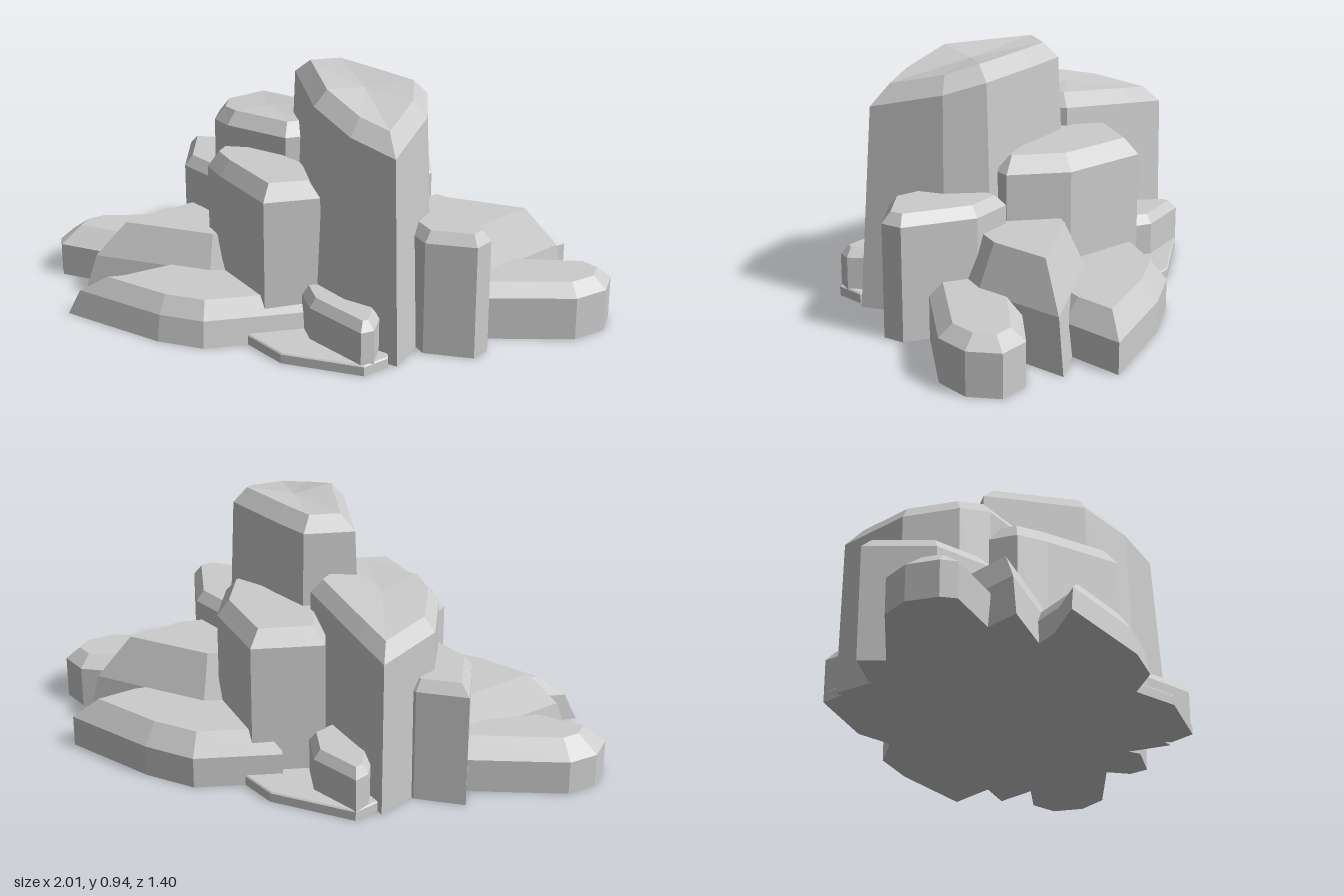
import * as THREE from 'three';

const material = new THREE.MeshStandardMaterial({ color: 0xcccccc, flatShading: true });

// Moves every edge of a convex outline outwards by d (inwards when negative).
function offset(outline, d) {
  const n = outline.length;
  const normal = (a, b) => new THREE.Vector2(b.y - a.y, a.x - b.x).normalize();
  return outline.map((p, i) => {
    const n1 = normal(outline[(i + n - 1) % n], p);
    const n2 = normal(p, outline[(i + 1) % n]);
    const k = d / (1 + n1.dot(n2));
    return n1.add(n2).multiplyScalar(k).add(p);
  });
}

// A faceted rock: splayed foot, shoulder outline and an inset, bevelled cap.
// shoulder is a height or a function of z; rise is the height of the bevel.
function rock(name, points, shoulder, rise, inset, splay = 0) {
  let outline = points.map(([x, z]) => new THREE.Vector2(x, z));
  if (THREE.ShapeUtils.area(outline) < 0) outline.reverse();
  const height = typeof shoulder === 'function' ? shoulder : () => shoulder;
  const ring = (pts, y) => pts.map(p => new THREE.Vector3(p.x, y(p.y), p.y));
  const rings = [
    ring(offset(outline, splay), () => 0),
    ring(outline, height),
    ring(offset(outline, -inset), z => height(z) + rise),
  ];
  const centre = r => r.reduce((s, p) => s.add(p), new THREE.Vector3()).divideScalar(r.length);
  const bottom = centre(rings[0]), top = centre(rings[2]);
  const tris = [];
  const n = outline.length;
  for (let i = 0; i < n; i++) {
    const j = (i + 1) % n;
    for (let k = 0; k < 2; k++) {
      const [lo, hi] = [rings[k], rings[k + 1]];
      tris.push(lo[i], hi[i], hi[j], lo[i], hi[j], lo[j]);
    }
    tris.push(top, rings[2][j], rings[2][i], bottom, rings[0][i], rings[0][j]);
  }
  const geometry = new THREE.BufferGeometry().setFromPoints(tris);
  geometry.computeVertexNormals();
  const mesh = new THREE.Mesh(geometry, material);
  mesh.name = name;
  return mesh;
}

export function createModel() {
  const group = new THREE.Group();
  group.name = 'rockCluster';
  group.add(
    // Tall peaks with tops sloping down to the outer tip
    rock('frontPeak', [[-.1, -.13], [.09, -.135], [.18, 0], [.32, .23], [.28, .38], [.11, .6],
      [-.02, .46], [-.11, .27]], z => .88 - Math.max(0, z - .24) * .3, .055, .05, .035),
    rock('backPeak', [[-.13, -.66], [-.06, -.5], [.07, -.18], [-.06, .02], [-.17, .03],
      [-.36, -.16], [-.39, -.28], [-.34, -.48]], z => .67 + Math.min(0, z + .2) * .17, .05, .04, .005),

    // Middle blocks
    rock('leftBlock', [[-.39, -.17], [-.45, -.08], [-.42, .04], [-.31, .335], [-.1, .33],
      [-.09, .1], [-.2, -.1]], .54, .06, .04),
    rock('rightBlock', [[.04, -.37], [.31, -.37], [.41, -.06], [.36, .17], [.3, .19], [0, -.1]],
      .54, .06, .045),

    // Side columns
    rock('frontColumn', [[.38, .18], [.47, .32], [.465, .6], [.4, .65], [.23, .57], [.2, .45],
      [.3, .22]], .435, .04, .03),
    rock('backColumn', [[-.44, -.64], [-.5, -.38], [-.38, -.16], [-.22, -.2], [-.2, -.45],
      [-.26, -.57]], .435, .04, .03),

    // Pointed wedges
    rock('rightWedge', [[.87, .17], [.56, .35], [.3, .38], [.2, -.1], [.47, -.09]],
      .2, .165, .07, .025),
    rock('leftWedge', [[-.88, -.195], [-.5, -.4], [-.25, -.38], [-.2, .1], [-.47, .05]],
      .16, .13, .06, .025),

    // Broad low ledges
    rock('rightLedge', [[.97, -.01], [.75, .1], [.5, .15], [.2, .1], [.2, -.4], [.53, -.395],
      [.7, -.28]], .12, .08, .06),
    rock('leftLedge', [[-.96, -.015], [-.8, -.02], [-.4, -.15], [-.1, .1], [-.12, .35],
      [-.54, .35], [-.69, .26]], .1, .065, .045, .02),
    rock('frontRightLedge', [[.46, .5], [.81, .58], [.94, .53], [1, .42], [.94, .315], [.65, .225],
      [.3, .25], [.3, .45]], .165, .045, .05),
    rock('backLeftLedge', [[-1, -.46], [-.94, -.56], [-.83, -.605], [-.4, -.53], [-.3, -.3],
      [-.79, -.25], [-1, -.4]], .13, .06, .08),

    // Small stones and thin slabs at the foot
    rock('frontStone', [[-.17, .3], [-.165, .45], [-.03, .69], [.02, .68], [.065, .58], [.05, .3]],
      .165, .035, .025),
    rock('backStone', [[-.03, -.7], [.1, -.53], [.1, -.38], [0, -.3], [-.12, -.5], [-.08, -.66]],
      .165, .035, .025),
    rock('frontSlab', [[-.38, .37], [-.29, .54], [-.02, .7], [.08, .65], [.15, .3], [-.3, .2]],
      .035, .005, .005),
    rock('backSlab', [[-.03, -.7], [.26, -.53], [.35, -.38], [.2, -.2], [-.15, -.3], [-.12, -.64]],
      .035, .005, .005),
  );
  return group;
}
